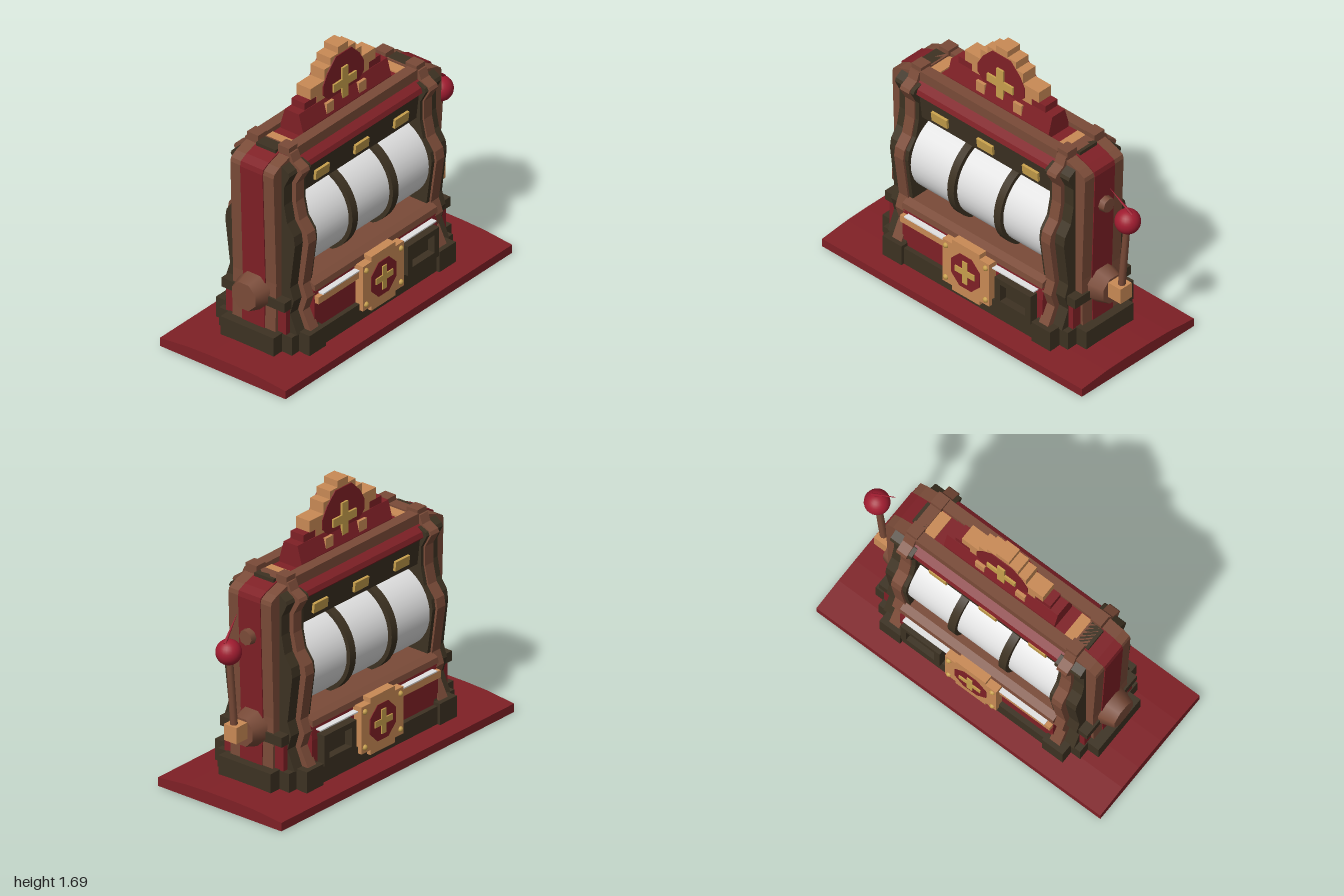
import * as THREE from 'three';

const mat = (name, color) => {
  const m = new THREE.MeshStandardMaterial({ color });
  m.name = name;
  return m;
};

export function createModel() {
  const red = mat('dark red', 0x7f2026), brown = mat('brown', 0x7a4b38), dark = mat('dark wood', 0x3d3222);
  const copper = mat('copper', 0xc98a55), gold = mat('gold', 0xc8a04c), white = mat('white', 0xe2e2e2);
  const crimson = mat('crimson', 0xa01c30);
  const root = new THREE.Group();
  root.name = 'slotMachine';

  const add = (name, geo, material, x = 0, y = 0, z = 0) => {
    const m = new THREE.Mesh(geo, material);
    m.name = name;
    m.position.set(x, y, z);
    root.add(m);
    return m;
  };
  // box given by its limits
  const box = (name, material, x0, x1, y0, y1, z0, z1) =>
    add(name, new THREE.BoxGeometry(Math.abs(x1 - x0), y1 - y0, Math.abs(z1 - z0)), material,
      (x0 + x1) / 2, (y0 + y1) / 2, (z0 + z1) / 2);
  const shapeOf = pts => new THREE.Shape(pts.map(p => new THREE.Vector2(...p)));
  // half outline plus its mirror image
  const mirrored = pts => shapeOf([...pts, ...pts.map(([a, b]) => [-a, b]).reverse()]);
  const extrude = (shape, depth) =>
    new THREE.ExtrudeGeometry(shape, { depth, bevelEnabled: false }).translate(0, 0, -depth / 2);
  // (x, y) outline with thickness along z
  const slabZ = (name, shape, material, depth, x = 0, y = 0, z = 0) => add(name, extrude(shape, depth), material, x, y, z);
  // half profile (z, y) mirrored front to back, running along x
  const slabX = (name, pts, material, x0, x1) =>
    add(name, extrude(mirrored(pts), Math.abs(x1 - x0)).rotateY(-Math.PI / 2), material, (x0 + x1) / 2);
  const cross = (name, half, w, depth, x, y, z) =>
    slabZ(name, mirrored([[w, half], [w, w], [half, w], [half, -w], [w, -w], [w, -half]]), gold, depth, x, y, z);

  // Base and stepped plinth
  slabX('basePlate', [[0.45, 0.003], [0.45, 0.055], [0.25, 0.075], [0.1, 0.08]], red, -1, 1);
  box('baseUnderStrip', white, 0.92, 0.99, 0, 0.004, -0.4, 0.44);
  box('plinthFront', dark, -0.52, 0.52, 0.07, 0.18, -0.315, 0.315);
  box('plinthSides', dark, -0.785, 0.785, 0.07, 0.195, -0.19, 0.19);
  box('plinthMiddle', dark, -0.71, 0.71, 0.07, 0.19, -0.26, 0.26);

  // Lower cabinet, upper cabinet and roof
  slabX('lowerPanel', [[0.285, 0.18], [0.285, 0.34], [0.275, 0.43], [0.1, 0.43]], red, -0.54, 0.54);
  slabX('reelSill', [[0.29, 0.425], [0.285, 0.46], [0.24, 0.48]], brown, -0.54, 0.54);
  slabX('lampBand', [[0.13, 1.0], [0.165, 1.01], [0.185, 1.18]], dark, -0.54, 0.54);
  slabX('redEave', [[0.19, 1.17], [0.21, 1.19], [0.2, 1.22], [0.15, 1.25]], red, -0.54, 0.54);
  box('roof', red, -0.6, 0.6, 1.23, 1.28, -0.14, 0.14);

  // Reels and the dark discs between them
  const axle = (name, material, x, r, len) =>
    add(name, new THREE.CylinderGeometry(r, r, len, 40).rotateZ(Math.PI / 2), material, x, 0.725);
  for (const x of [-0.355, 0.005, 0.36]) axle('reel', white, x, 0.255, 0.305);
  for (const x of [-0.175, 0.183]) axle('reelDivider', dark, x, 0.28, 0.05);

  // Wavy pillars and end bodies
  const wave = [[0.31, 0.19], [0.25, 0.31], [0.28, 0.4], [0.25, 0.48], [0.29, 0.76], [0.28, 0.82],
    [0.225, 0.89], [0.2, 1.0], [0.2, 1.12], [0.245, 1.2], [0.235, 1.22], [0.18, 1.25], [0.16, 1.3]];
  const scaled = (k, top) => wave.map(([z, y]) => [z * k, Math.min(y, top)]);
  for (const s of [-1, 1]) {
    slabX('pillar', wave, brown, s * 0.53, s * 0.6);
    slabX('pillarInnerTrim', scaled(0.95, 1.24), dark, s * 0.505, s * 0.53);
    slabX('pillarOuterTrim', scaled(0.86, 1.255), dark, s * 0.6, s * 0.67);

    const endShape = o => shapeOf([[0.58, 0.18], [0.725 + o, 0.18], [0.718 + o, 0.5], [0.742 + o, 1.2],
      [0.735 + o, 1.225 + o], [0.69, 1.25 + o], [0.58, 1.285 + o]].map(([x, y]) => [s * x, y]));
    slabZ('endBody', endShape(0), brown, 0.31);
    slabZ('endRedPanel', endShape(0.006), red, 0.16);
    box('endLowerPanel', red, s * 0.6, s * 0.705, 0.18, 0.35, -0.215, 0.215);
    box('endBelt', dark, s * 0.6, s * 0.732, 0.35, 0.41, -0.225, 0.225);
    const hub = add('sideHub', new THREE.CylinderGeometry(0.09, 0.12, 0.1, 8).rotateZ(-s * Math.PI / 2), brown, s * 0.765, 0.41);
    hub.rotation.x = Math.PI / 8;
    box('roofClasp', dark, s * 0.54, s * 0.62, 1.24, 1.3, -0.07, 0.07);
    box('roofEndPlate', copper, s * 0.46, s * 0.54, 1.27, 1.29, -0.08, 0.08);
    for (const t of [-1, 1]) {
      box('plinthCorner', dark, s * 0.5, s * 0.645, 0.07, 0.2, t * 0.2, t * 0.335);
      box('roofKnot', brown, s * 0.525, s * 0.6, 1.23, 1.33, t * 0.07, t * 0.15);
    }
  }

  // Fittings repeated on the front and back
  for (const s of [1, -1]) {
    box('roofBeam', brown, -0.53, 0.53, 1.235, 1.31, s * 0.085, s * 0.155);
    for (const x of [-0.35, 0, 0.35]) {
      const lamp = box('lamp', gold, x - 0.06, x + 0.06, 1.05, 1.11, s * 0.16, s * 0.19);
      lamp.rotation.x = s * 0.11;
    }
    box('copperBar', copper, -0.535, -0.18, 0.345, 0.39, s * 0.28, s * 0.31);
    box('whiteStrip', white, -0.5, 0.5, 0.392, 0.4, s * 0.27, s * 0.315);

    // Emblem with frame, red field, cross and rivets
    const frame = mirrored([[0.105, 0.175], [0.105, 0.145], [0.18, 0.145], [0.18, -0.145], [0.105, -0.145], [0.105, -0.175]]);
    slabZ('emblemFrame', frame, copper, 0.075, 0, 0.285, s * 0.302);
    const field = new THREE.CylinderGeometry(0.12, 0.12, 0.008, 8).rotateY(Math.PI / 8).rotateX(Math.PI / 2);
    add('emblemField', field, red, 0, 0.285, s * 0.34);
    cross('emblemCross', 0.075, 0.019, 0.012, 0, 0.285, s * 0.345);
    for (const x of [-0.153, 0.153]) for (const y of [0.175, 0.395])
      add('rivet', new THREE.SphereGeometry(0.018, 8, 6), gold, x, y, s * 0.338);

    // Coin tray
    const tray = shapeOf([[0.22, 0.18], [0.495, 0.18], [0.495, 0.37], [0.22, 0.37]]);
    tray.holes.push(new THREE.Path([[0.26, 0.22], [0.26, 0.335], [0.455, 0.335], [0.455, 0.22]].map(p => new THREE.Vector2(...p))));
    slabZ('trayFrame', tray, dark, 0.075, 0, 0, s * 0.3);
    box('trayBack', dark, 0.24, 0.48, 0.2, 0.35, s * 0.28, s * 0.288);
  }

  // Stepped crown
  slabX('crownWings', [[0.08, 1.27], [0.08, 1.31], [0.05, 1.415]], red, -0.39, 0.39);
  box('crownWingStep', red, -0.335, 0.335, 1.4, 1.46, -0.047, 0.047);
  slabZ('crownFrame', mirrored([[0.045, 1.69], [0.045, 1.65], [0.11, 1.65], [0.11, 1.6], [0.165, 1.6], [0.165, 1.53],
    [0.285, 1.53], [0.285, 1.46], [0.23, 1.46], [0.23, 1.4], [0.18, 1.4], [0.18, 1.3]]), copper, 0.1);
  for (const s of [-1, 1]) {
    box('crownFoot', copper, s * 0.11, s * 0.175, 1.3, 1.39, -0.076, 0.076);
    slabZ('crownField', mirrored([[0.07, 1.64], [0.14, 1.57], [0.18, 1.5], [0.18, 1.44], [0.11, 1.37], [0.11, 1.32]]),
      red, 0.008, 0, 0, s * 0.052);
    cross('crownCross', 0.1, 0.026, 0.02, 0, 1.45, s * 0.058);
  }

  // Lever on the model's left
  const rod = (name, material, a, b, r0, r1) => {
    const p = new THREE.Vector3(...a), d = new THREE.Vector3(...b).sub(p);
    const m = add(name, new THREE.CylinderGeometry(r1, r0, d.length(), 8), material);
    m.position.copy(p).addScaledVector(d, 0.5);
    m.quaternion.setFromUnitVectors(new THREE.Vector3(0, 1, 0), d.normalize());
  };
  box('leverBlock', copper, 0.8, 0.91, 0.38, 0.48, -0.045, 0.045);
  rod('leverRod', brown, [0.875, 0.46, 0], [0.915, 0.9, 0], 0.022, 0.02);
  add('leverBall', new THREE.SphereGeometry(0.075, 24, 16), crimson, 0.922, 0.942, 0);
  rod('leverSpike', crimson, [0.955, 1.005, 0], [0.815, 1.13, 0.03], 0.01, 0.001);
  add('sideKnob', new THREE.CylinderGeometry(0.045, 0.05, 0.05, 8).rotateZ(-Math.PI / 2), brown, 0.755, 0.975, 0);

  return root;
}
